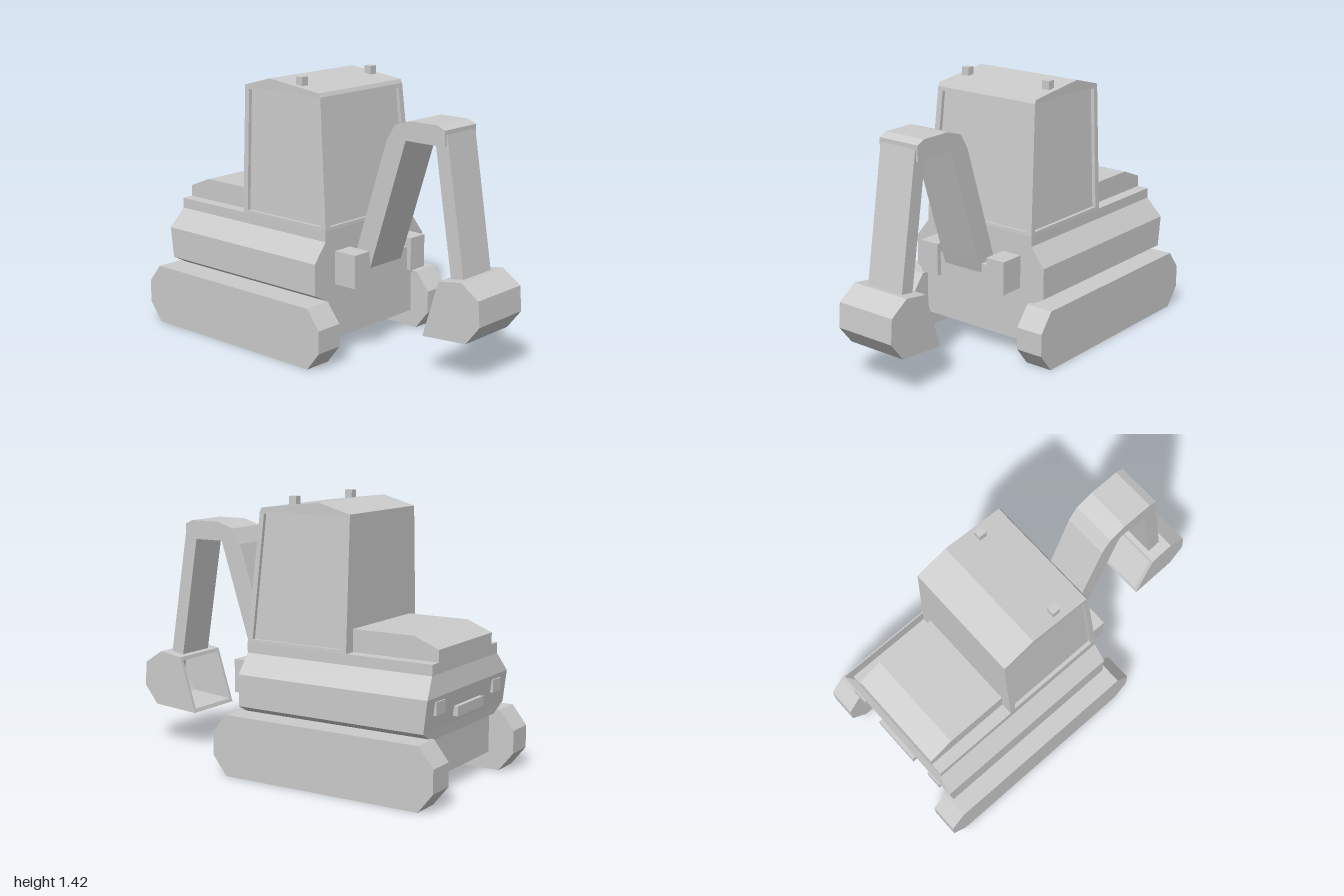
import * as THREE from 'three';

const material = new THREE.MeshStandardMaterial({
  color: 0xcccccc,
  flatShading: true,
  side: THREE.DoubleSide
});

function add(parent, name, geometry, x = 0, y = 0, z = 0) {
  const mesh = new THREE.Mesh(geometry, material);
  mesh.name = name;
  mesh.position.set(x, y, z);
  parent.add(mesh);
}

function box(width, height, depth) {
  return new THREE.BoxGeometry(width, height, depth);
}

function point(x, y, z) {
  return new THREE.Vector3(x, y, z);
}

// Side profile of [z, y] points, extruded across x and centred
function profile(points, width) {
  const corners = points.map((p) => new THREE.Vector2(p[0], p[1]));
  const shape = new THREE.Shape(corners);
  const geometry = new THREE.ExtrudeGeometry(shape, { depth: width, bevelEnabled: false });
  geometry.translate(0, 0, -width / 2);
  geometry.rotateY(-Math.PI / 2);
  return geometry;
}

// Flat geometry from a list of four-cornered faces
function quads(faces) {
  const corners = [];
  faces.forEach((f) => {
    corners.push(f[0], f[1], f[2], f[0], f[2], f[3]);
  });
  const geometry = new THREE.BufferGeometry();
  geometry.setFromPoints(corners);
  geometry.computeVertexNormals();
  return geometry;
}

// Faces joining two four-cornered loops
function band(lower, upper) {
  const faces = [];
  for (let i = 0; i < 4; i++) {
    const j = (i + 1) % 4;
    faces.push([lower[i], lower[j], upper[j], upper[i]]);
  }
  return faces;
}

// Stacked rectangular rings given as [y, half width, front z, back z]
function stack(levels) {
  const rings = levels.map((level) => {
    const [y, half, front, back] = level;
    return [
      point(-half, y, front),
      point(half, y, front),
      point(half, y, back),
      point(-half, y, back)
    ];
  });
  const bottom = rings[0].slice().reverse();
  const faces = [bottom, rings[rings.length - 1]];
  for (let k = 1; k < rings.length; k++) {
    faces.push(...band(rings[k - 1], rings[k]));
  }
  return quads(faces);
}

// Window wall with frame, recess and sunken pane
// Corners run anticlockwise from bottom left, seen from outside
function windowWall(outer, u0, u1, v0, v1) {
  const [bottomLeft, bottomRight, topRight, topLeft] = outer;
  function at(u, v) {
    const low = bottomLeft.clone().lerp(bottomRight, u);
    const high = topLeft.clone().lerp(topRight, u);
    return low.lerp(high, v);
  }
  const rim = [at(u0, v0), at(u1, v0), at(u1, v1), at(u0, v1)];
  const across = bottomRight.clone().sub(bottomLeft);
  const up = topLeft.clone().sub(bottomLeft);
  const inward = across.cross(up).setLength(0.02).negate();
  const pane = rim.map((p) => p.clone().add(inward));
  return quads([pane, ...band(outer, rim), ...band(rim, pane)]);
}

export function createModel() {
  const model = new THREE.Group();
  model.name = 'excavator';
  const sides = [['left', 1], ['right', -1]];

  // Undercarriage
  const track = profile([
    [0.19, 0], [0.27, 0.1], [0.27, 0.22], [0.19, 0.32],
    [-0.92, 0.32], [-1, 0.22], [-1, 0.1], [-0.92, 0]
  ], 0.153);
  add(model, 'leftTrack', track, 0.431);
  add(model, 'rightTrack', track, -0.431);
  add(model, 'chassis', box(0.72, 0.22, 1.01), 0, 0.2, -0.355);

  // Upper body sits slightly off the centre line
  const upper = new THREE.Group();
  upper.name = 'upperBody';
  upper.position.x = 0.01;
  model.add(upper);
  const hull = stack([
    [0.305, 0.335, 0.16, -0.9],
    [0.355, 0.425, 0.16, -0.905],
    [0.52, 0.425, 0.16, -0.925],
    [0.62, 0.345, 0.16, -0.905],
    [0.675, 0.345, 0.16, -0.905]
  ]);
  add(upper, 'hull', hull);
  const hood = profile([
    [-0.42, 0.67], [-0.42, 0.79], [-0.77, 0.79], [-0.905, 0.735], [-0.905, 0.67]
  ], 0.56);
  add(upper, 'engineHood', hood);

  // Cab, with corners named from the model's own left and right
  const low = {
    frontLeft: point(0.345, 0.675, 0.16),
    frontRight: point(-0.345, 0.675, 0.16),
    backLeft: point(0.345, 0.675, -0.43),
    backRight: point(-0.345, 0.675, -0.43)
  };
  const high = {
    frontLeft: point(0.315, 1.34, 0.1),
    frontRight: point(-0.315, 1.34, 0.1),
    backLeft: point(0.315, 1.34, -0.43),
    backRight: point(-0.315, 1.34, -0.43)
  };
  function wall(a, b) {
    return [low[a], low[b], high[b], high[a]];
  }
  add(upper, 'cabFront', windowWall(wall('frontRight', 'frontLeft'), 0.05, 0.95, 0.025, 0.97));
  add(upper, 'cabLeft', windowWall(wall('frontLeft', 'backLeft'), 0.05, 0.945, 0.025, 0.985));
  add(upper, 'cabRight', windowWall(wall('backRight', 'frontRight'), 0.055, 0.95, 0.025, 0.985));
  add(upper, 'cabBack', quads([wall('backLeft', 'backRight')]));
  const roof = profile([
    [0.1, 1.34], [0.09, 1.36], [-0.25, 1.4], [-0.43, 1.35], [-0.43, 1.34]
  ], 0.63);
  add(upper, 'cabRoof', roof);

  // Paired fittings
  sides.forEach(([side, s]) => {
    add(upper, side + 'RoofLamp', box(0.042, 0.05, 0.042), s * 0.262, 1.397, -0.075);
    add(upper, side + 'BoomMount', box(0.112, 0.175, 0.145), s * 0.22, 0.4725, 0.2225);
    add(upper, side + 'TailLamp', box(0.09, 0.065, 0.03), s * 0.3, 0.465, -0.915);
  });
  add(upper, 'boomCrossbar', box(0.34, 0.12, 0.12), 0, 0.45, 0.21);
  add(upper, 'rearBumper', box(0.275, 0.05, 0.04), 0, 0.415, -0.917);

  // Digging arm
  const boom = profile([
    [0.155, 0.46], [0.185, 0.56], [0.375, 1.14], [0.425, 1.22], [0.52, 1.25], [0.69, 1.25],
    [0.735, 1.23], [0.735, 1.15], [0.495, 1.15], [0.3, 0.55], [0.27, 0.46]
  ], 0.244);
  add(model, 'boom', boom);
  const stick = profile([[0.74, 1.21], [0.855, 0.505], [0.78, 0.495], [0.67, 1.17]], 0.222);
  add(model, 'stick', stick);

  // Open bucket made of a curved shell between two cheek plates
  const outside = [
    [0.75, 0.5], [0.885, 0.52], [0.99, 0.45], [1, 0.32], [0.92, 0.22], [0.655, 0.2]
  ];
  const inside = [
    [0.662, 0.22], [0.91, 0.24], [0.98, 0.33], [0.97, 0.438], [0.88, 0.5], [0.745, 0.48]
  ];
  add(model, 'bucketShell', profile(outside.concat(inside), 0.31));
  sides.forEach(([side, s]) => {
    add(model, side + 'BucketCheek', profile(outside, 0.018), s * 0.163);
  });
  return model;
}
